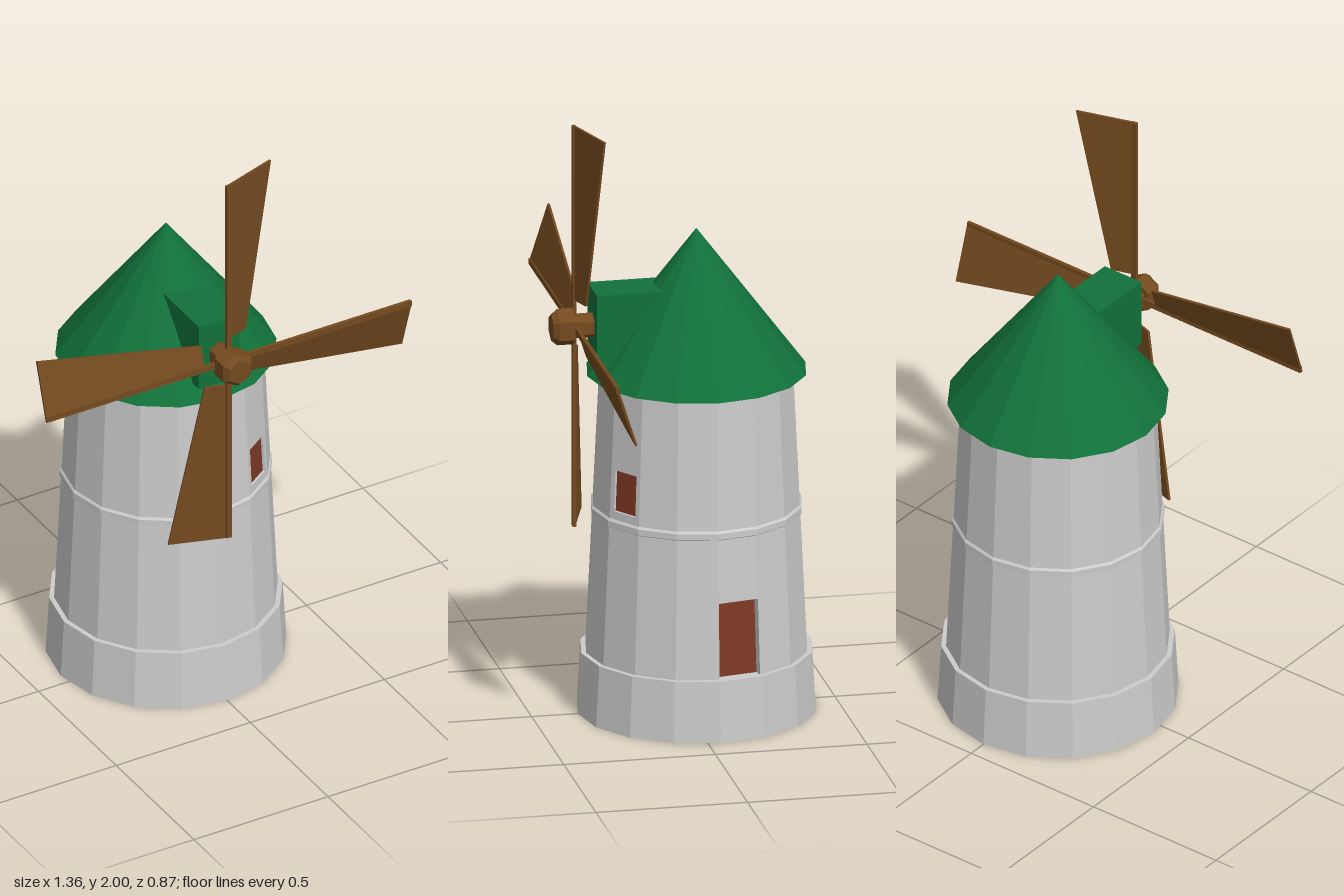
import * as THREE from 'three';

const SIDES = 16, STEP = (Math.PI * 2) / SIDES;
const CENTRE_Z = -0.043;
const WALL = { y0: 0.2, y1: 1.15, r0: 0.364, r1: 0.318 };

const mat = (color, side = THREE.FrontSide) =>
  new THREE.MeshStandardMaterial({ color, flatShading: true, side });

function add(parent, name, geometry, material, x = 0, y = 0, z = 0) {
  const mesh = new THREE.Mesh(geometry, material);
  mesh.name = name;
  mesh.position.set(x, y, z);
  parent.add(mesh);
  return mesh;
}

// Point on facet i of the tapered wall: u runs 0..1 across it, depth goes inward
function wallPoint(i, u, y, depth = 0) {
  const r = THREE.MathUtils.lerp(WALL.r0, WALL.r1, (y - WALL.y0) / (WALL.y1 - WALL.y0));
  const a = i * STEP, b = a + STEP, m = a + STEP / 2;
  return new THREE.Vector3(
    r * THREE.MathUtils.lerp(Math.sin(a), Math.sin(b), u) - depth * Math.sin(m),
    y,
    r * THREE.MathUtils.lerp(Math.cos(a), Math.cos(b), u) - depth * Math.cos(m));
}

const panel = (i, u0, u1, y0, y1, d = 0) => [
  wallPoint(i, u0, y0, d), wallPoint(i, u1, y0, d),
  wallPoint(i, u1, y1, d), wallPoint(i, u0, y1, d)];

function quadGeometry(quads) {
  const points = quads.flatMap(([a, b, c, d]) => [a, b, c, a, c, d]);
  const geometry = new THREE.BufferGeometry().setFromPoints(points);
  geometry.computeVertexNormals();
  return geometry;
}

// Facet with a recessed opening: surrounding wall plus the four reveals
function openFacet({ i, u0, u1, y0, y1, depth }) {
  const quads = [];
  if (y0 > WALL.y0) quads.push(panel(i, 0, 1, WALL.y0, y0));
  quads.push(panel(i, 0, 1, y1, WALL.y1));
  if (u0 > 0) quads.push(panel(i, 0, u0, y0, y1));
  if (u1 < 1) quads.push(panel(i, u1, 1, y0, y1));
  const outer = panel(i, u0, u1, y0, y1), inner = panel(i, u0, u1, y0, y1, depth);
  for (let k = 0; k < 4; k++) {
    const n = (k + 1) % 4;
    quads.push([outer[k], outer[n], inner[n], inner[k]]);
  }
  return quads;
}

export function createModel() {
  const model = new THREE.Group();
  model.name = 'windmill';
  const stone = mat(0xcccccc), green = mat(0x11713a), wood = mat(0x744a1f);
  const red = mat(0x7d3826, THREE.DoubleSide);

  // Stone tower
  const tower = new THREE.Group();
  tower.name = 'tower';
  tower.position.z = CENTRE_Z;
  model.add(tower);
  add(tower, 'base', new THREE.CylinderGeometry(0.38, 0.392, 0.205, SIDES), stone, 0, 0.1025);

  const openings = [
    { name: 'door', i: 4, u0: 0, u1: 1, y0: 0.2, y1: 0.46, depth: 0.03 },
    { name: 'window', i: 1, u0: 0.14, u1: 0.87, y0: 0.73, y1: 0.867, depth: 0.008 }];
  const quads = [];
  for (let i = 0; i < SIDES; i++) {
    const hole = openings.find(o => o.i === i);
    quads.push(...(hole ? openFacet(hole) : [panel(i, 0, 1, WALL.y0, WALL.y1)]));
  }
  add(tower, 'wall', quadGeometry(quads), stone);
  for (const o of openings)
    add(tower, o.name, quadGeometry([panel(o.i, o.u0, o.u1, o.y0, o.y1, o.depth)]), red);

  // Stone band with bevelled edges
  const band = [[0.335, 0.668], [0.346, 0.675], [0.346, 0.695], [0.335, 0.708]];
  add(tower, 'band', new THREE.LatheGeometry(band.map(p => new THREE.Vector2(...p)), SIDES), stone);

  // Roof and the dormer that carries the shaft
  add(tower, 'roof', new THREE.ConeGeometry(0.36, 0.48, SIDES), green, 0, 1.385);
  add(model, 'dormer', new THREE.BoxGeometry(0.15, 0.24, 0.3), green, 0, 1.32, 0.15);

  // Rotor: shaft, hub and four sails
  const rotor = new THREE.Group();
  rotor.name = 'rotor';
  rotor.position.set(0, 1.319, 0);
  model.add(rotor);
  const shaft = new THREE.CylinderGeometry(0.042, 0.042, 0.12, 6).rotateX(Math.PI / 2);
  add(rotor, 'shaft', shaft, wood, 0, 0, 0.32);
  const hubProfile = [[0, 0], [0.062, 0], [0.062, 0.052], [0.045, 0.072], [0, 0.072]];
  const hub = new THREE.LatheGeometry(hubProfile.map(p => new THREE.Vector2(...p)), 6)
    .rotateX(Math.PI / 2).rotateZ(Math.PI);
  add(rotor, 'hub', hub, wood, 0, 0, 0.364);

  // Tapered board, pitched backwards about its spar
  const outline = new THREE.Shape([[-0.01, 0.09], [0.08, 0.09], [0.2, 0.681], [-0.01, 0.681]]
    .map(p => new THREE.Vector2(...p)));
  const sailGeometry = new THREE.ExtrudeGeometry(outline, { depth: 0.008, bevelEnabled: false })
    .translate(0, 0, -0.004).rotateY(0.31);
  const sparGeometry = new THREE.BoxGeometry(0.02, 0.67, 0.012).translate(0, 0.345, 0);
  for (let k = 0; k < 4; k++) {
    const sail = new THREE.Group();
    sail.name = 'sail' + (k + 1);
    sail.position.z = 0.36;
    sail.rotation.z = -k * Math.PI / 2;
    add(sail, 'board', sailGeometry, wood);
    add(sail, 'spar', sparGeometry, wood);
    rotor.add(sail);
  }
  return model;
}
